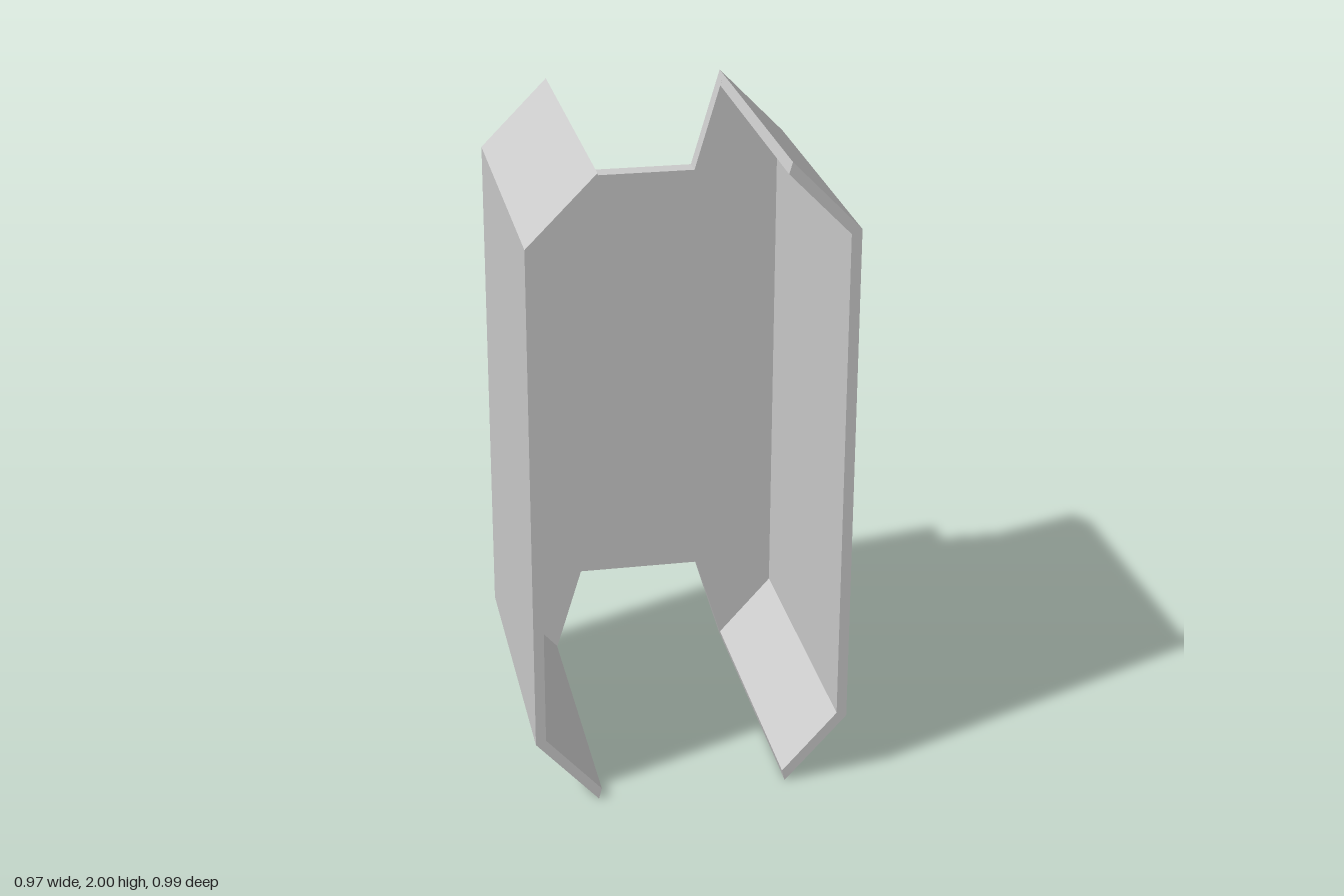
import * as THREE from 'three';

const BACK = -0.495, PLATE_FRONT = -0.435, FRONT = 0.495;

// Outer edge of one half, from the top tip down to the bottom tip
const outer = [[0.276, 2], [0.483, 1.79], [0.483, 0.21], [0.292, 0]];
// Inner edge of the side wall, from bottom to top
const inner = [[0.283, 0.035], [0.452, 0.222], [0.452, 1.777], [0.266, 1.965]];
// Corners of the notches between the tips
const notchTop = [0.185, 1.695];
const notchBottom = [0.197, 0.31];

const mirror = (points) => points.map(([x, y]) => [-x, y]);

function extrudeProfile(name, points, z0, z1, material) {
  const shape = new THREE.Shape(points.map(([x, y]) => new THREE.Vector2(x, y)));
  const geometry = new THREE.ExtrudeGeometry(shape, { depth: z1 - z0, bevelEnabled: false });
  geometry.translate(0, 0, z0);
  const mesh = new THREE.Mesh(geometry, material);
  mesh.name = name;
  return mesh;
}

export function createModel() {
  const group = new THREE.Group();
  group.name = 'notchedChannel';
  const material = new THREE.MeshStandardMaterial({ color: 0xcccccc, flatShading: true });

  // Back plate with a notch at the top and bottom
  const half = [notchTop, ...outer, notchBottom];
  const plate = [...half, ...mirror(half).reverse()];
  group.add(extrudeProfile('backPlate', plate, BACK, PLATE_FRONT, material));

  // Folded side walls running forward from the plate
  const wall = [...outer, ...inner];
  group.add(extrudeProfile('leftWall', wall, PLATE_FRONT, FRONT, material));
  group.add(extrudeProfile('rightWall', mirror(wall), PLATE_FRONT, FRONT, material));

  return group;
}
